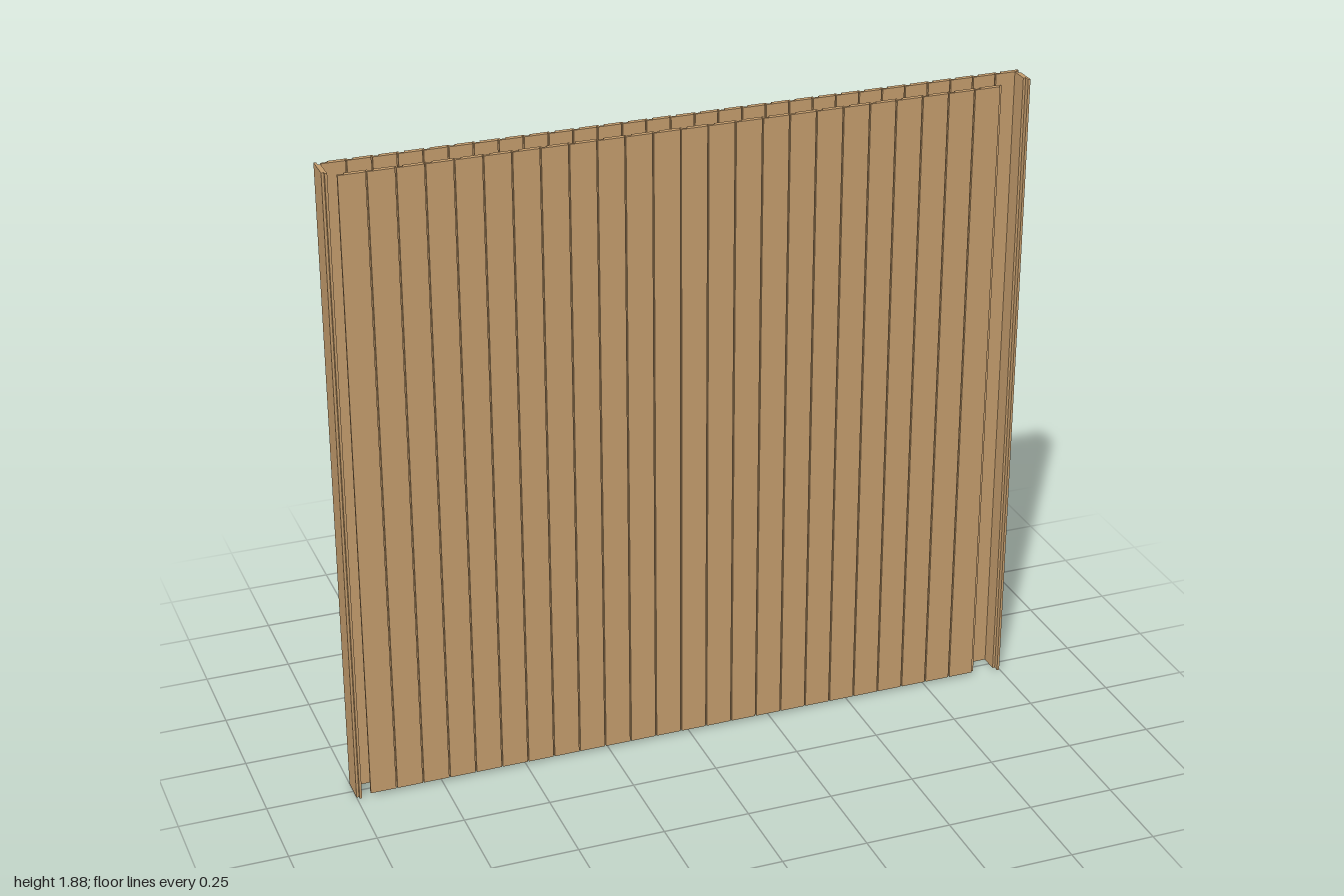
import * as THREE from 'three';

const T = 0.014; // board thickness

// Shiplap board: outer face at z = 0, running along +x, standing on y = 0
function boardGeometry(pitch, outerGap, innerGap, height) {
  const lap = innerGap + 0.004;
  const end = pitch - outerGap;
  const tongue = pitch + lap - innerGap;
  const shape = new THREE.Shape([
    [0, 0], [end, 0], [end, T / 2], [tongue, T / 2],
    [tongue, T], [lap, T], [lap, T / 2], [0, T / 2],
  ].map(([x, y]) => new THREE.Vector2(x, y)));
  const geo = new THREE.ExtrudeGeometry(shape, { depth: height, bevelEnabled: false });
  return geo.rotateX(-Math.PI / 2);
}

export function createModel() {
  const wood = new THREE.MeshStandardMaterial({ color: 0xc19a6b });
  wood.name = 'tan wood';
  const model = new THREE.Group();
  model.name = 'plankWall';

  // A row of boards placed side by side along its local x axis
  function row(name, count, pitch, outerGap, innerGap, height) {
    const group = new THREE.Group();
    group.name = name;
    const geo = boardGeometry(pitch, outerGap, innerGap, height);
    for (let i = 0; i < count; i++) {
      const board = new THREE.Mesh(geo, wood);
      board.name = name + 'Board' + (i + 1);
      board.position.x = i * pitch;
      group.add(board);
    }
    model.add(group);
    return group;
  }

  // Inner cladding at the front, slightly shorter than the rest
  row('frontCladding', 24, 1.87 / 24, 0.004, 0.015, 1.86).position.set(-0.96, 0.01, 0.042);

  // Grooved cladding at the back
  const back = row('backCladding', 29, 1.98 / 29, 0.015, 0.004, 1.88);
  back.rotation.y = Math.PI;
  back.position.set(1, 0, -0.042);

  // Single boards closing the two ends
  const left = row('leftEnd', 1, 0.064, 0.004, 0.012, 1.88);
  left.rotation.y = Math.PI / 2;
  left.position.set(0.998, 0, 0.042);

  const right = row('rightEnd', 1, 0.08, 0.004, 0.012, 1.88);
  right.rotation.y = -Math.PI / 2;
  right.position.set(-1, 0, -0.042);

  return model;
}
